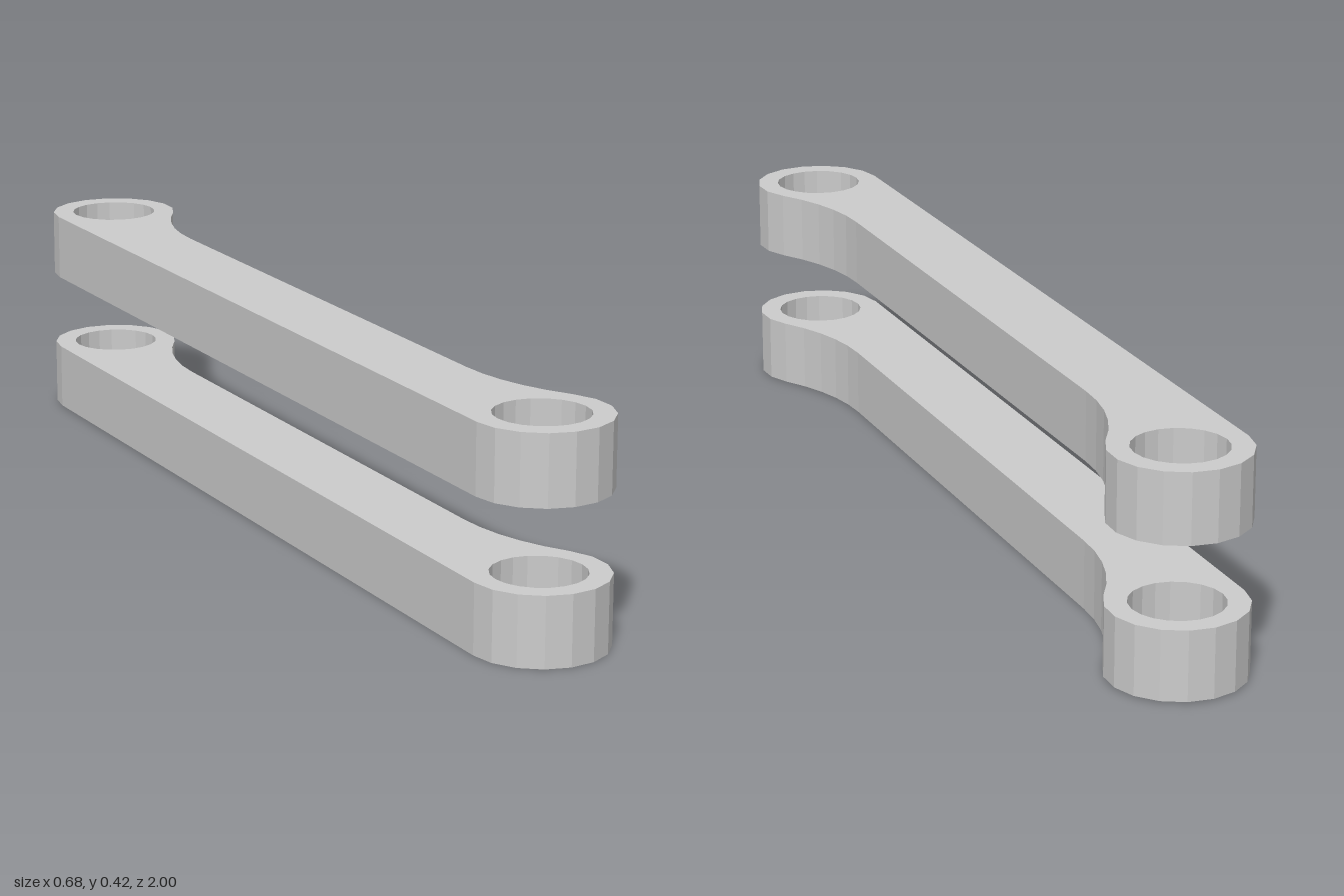
import * as THREE from 'three';

const HALF = 0.895;        // half distance between the eye centres
const EYE = 0.13;          // eye outer radius
const HOLE = 0.088;        // eye bore radius
const EDGE = 0.033;        // offset of the bar's inner edge from the centre line
const FILLET = 0.436;      // radius blending the inner edge into an eye
const THICK = 0.133;
const ANGLE = Math.atan2(0.87, 0.21);

// Points along an arc, both ends included
function arc(cx, cy, r, from, to, steps) {
  return Array.from({ length: steps + 1 }, (_, i) => {
    const a = from + (to - from) * i / steps;
    return new THREE.Vector2(cx + r * Math.cos(a), cy + r * Math.sin(a));
  });
}

function armGeometry() {
  // One end: around the eye, then through the fillet to the inner edge
  const s = Math.sqrt((EYE + FILLET) ** 2 - (EDGE + FILLET) ** 2);
  const meet = Math.atan2(EDGE + FILLET, -s);
  const end = [
    ...arc(HALF, 0, EYE, -Math.PI / 2, meet, 10),
    ...arc(HALF - s, EDGE + FILLET, FILLET, meet - Math.PI, -Math.PI / 2, 5).slice(1),
  ];
  // The other end is its mirror image
  const outline = [...end, ...end.map(p => new THREE.Vector2(-p.x, p.y)).reverse()];

  // Swing the bar's long axis to its diagonal, with shape y pointing to -z
  const place = p => new THREE.Vector2(
    p.x * Math.cos(ANGLE) + p.y * Math.sin(ANGLE),
    -p.x * Math.sin(ANGLE) + p.y * Math.cos(ANGLE));

  const shape = new THREE.Shape(outline.map(place));
  for (const side of [-1, 1]) {
    const ring = arc(side * HALF, 0, HOLE, 0, Math.PI * 2, 20).slice(0, -1);
    shape.holes.push(new THREE.Path(ring.map(place)));
  }
  const geo = new THREE.ExtrudeGeometry(shape, { depth: THICK, bevelEnabled: false });
  return geo.rotateX(-Math.PI / 2);
}

export function createModel() {
  const model = new THREE.Group();
  model.name = 'linkArms';
  const material = new THREE.MeshStandardMaterial({ color: 0xcccccc, flatShading: true });
  const geometry = armGeometry();

  // Two identical arms, one above the other, dipping very slightly to the front
  for (const [name, y] of [['lowerArm', 0.002], ['upperArm', 0.29]]) {
    const arm = new THREE.Mesh(geometry, material);
    arm.name = name;
    arm.position.y = y;
    arm.rotation.x = 0.0015;
    model.add(arm);
  }
  return model;
}
